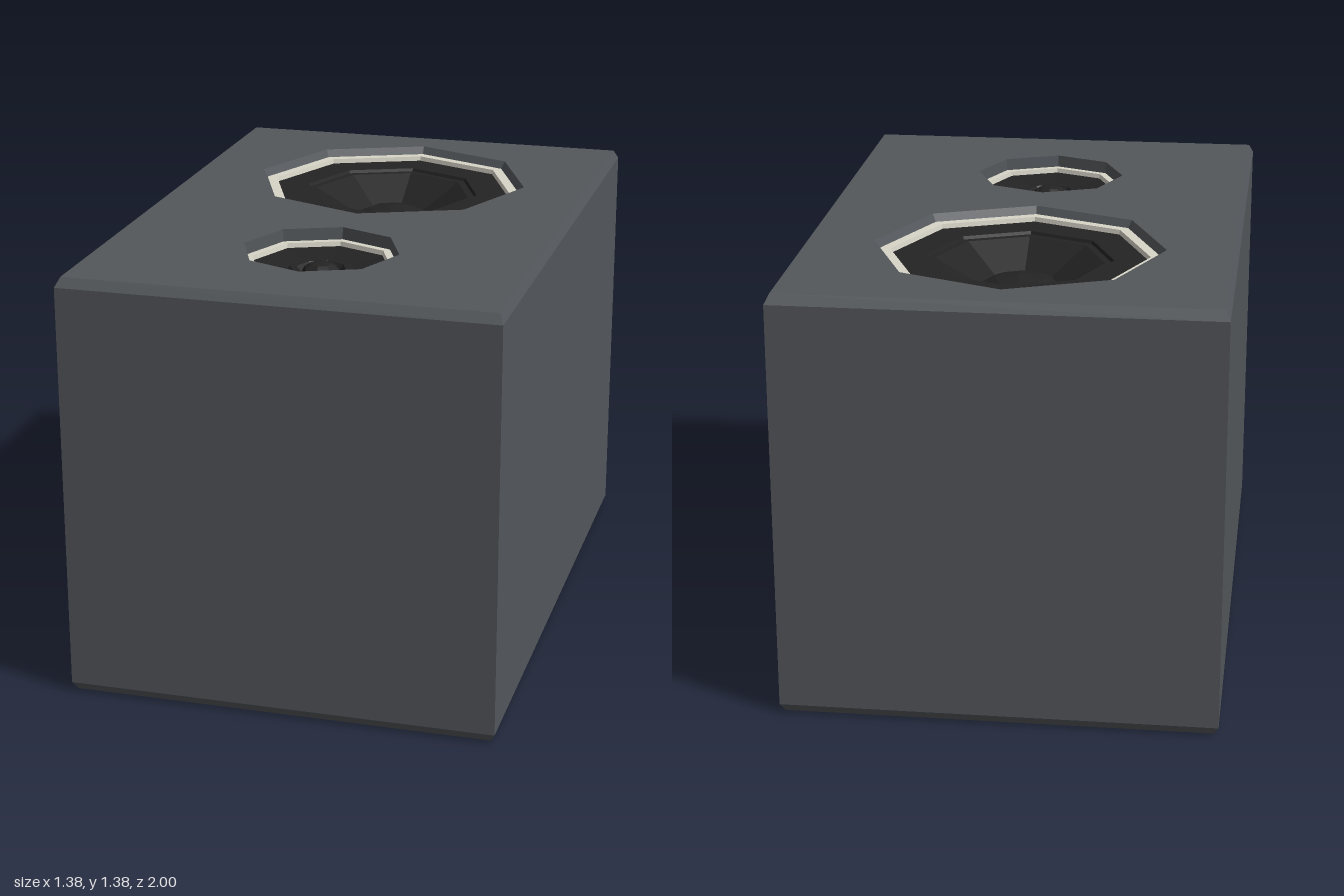
import * as THREE from 'three';

const HEIGHT = 1.38, HALF_X = 0.69, HALF_Z = 1;
const CHAMFER = 0.03, INSET = 0.979;

const shell = new THREE.MeshStandardMaterial({ color: 0x53575b, flatShading: true });
const trim = new THREE.MeshStandardMaterial({ color: 0xd8d5c8, flatShading: true });
const black = new THREE.MeshStandardMaterial({ color: 0x232323, flatShading: true });

// Faceted lathe: profile is a list of [radius, y], from outside to inside
function facets(profile, sides, start = 0) {
  const points = profile.map(([r, y]) => new THREE.Vector2(r, y));
  const geometry = new THREE.LatheGeometry(points, sides, start).toNonIndexed();
  geometry.computeVertexNormals();
  return geometry;
}

function add(parent, name, geometry, material) {
  const mesh = new THREE.Mesh(geometry, material);
  mesh.name = name;
  parent.add(mesh);
  return mesh;
}

// Octagonal driver, sunk below y = 0 of its own group
function driver(name, z, parts) {
  const group = new THREE.Group();
  group.name = name;
  group.position.set(0, HEIGHT, z);
  for (const [part, material, profile] of parts) {
    add(group, part, facets(profile, 8), material);
  }
  return group;
}

function octagonHole(radius, z) {
  const path = new THREE.Path();
  for (let i = 0; i < 8; i++) {
    const a = -i * Math.PI / 4;
    const x = radius * Math.sin(a), y = -z + radius * Math.cos(a);
    if (i === 0) path.moveTo(x, y); else path.lineTo(x, y);
  }
  path.closePath();
  return path;
}

export function createModel() {
  const model = new THREE.Group();
  model.name = 'loudspeaker';

  // Cabinet walls and base: a four-sided lathe with chamfered top and bottom edges
  const d = Math.SQRT2;
  const walls = facets([
    [0, 0], [INSET * d, 0], [d, CHAMFER], [d, HEIGHT - CHAMFER], [INSET * d, HEIGHT],
  ], 4, Math.PI / 4);
  walls.scale(HALF_X, 1, HALF_Z);
  walls.computeVertexNormals();
  add(model, 'cabinet', walls, shell);

  // Baffle panel with the two driver openings
  const woofer = { z: -0.395, r: 0.465 }, tweeter = { z: 0.49, r: 0.252 };
  const w = HALF_X * INSET, l = HALF_Z * INSET;
  const panel = new THREE.Shape([
    new THREE.Vector2(-w, -l), new THREE.Vector2(w, -l),
    new THREE.Vector2(w, l), new THREE.Vector2(-w, l),
  ]);
  for (const { z, r } of [woofer, tweeter]) panel.holes.push(octagonHole(r, z));
  const baffle = new THREE.ShapeGeometry(panel).rotateX(-Math.PI / 2).translate(0, HEIGHT, 0);
  add(model, 'baffle', baffle, shell);

  // Large driver: sloped recess, pale ring, surround, cone and dust cap
  model.add(driver('woofer', woofer.z, [
    ['wooferRecess', shell, [[woofer.r, 0], [0.45, -0.025]]],
    ['wooferRing', trim, [[0.45, -0.025], [0.415, -0.025], [0.412, -0.04]]],
    ['wooferSurround', black, [[0.412, -0.04], [0.3, -0.04], [0.295, -0.05], [0.27, -0.05]]],
    ['wooferCone', black, [[0.27, -0.05], [0.13, -0.13]]],
    ['wooferDustCap', black, [[0.13, -0.13], [0.08, -0.108], [0, -0.095]]],
  ]));

  // Small driver: straight recess, pale ring, shallow plate and dome
  model.add(driver('tweeter', tweeter.z, [
    ['tweeterRecess', shell, [[tweeter.r, 0], [0.25, -0.04]]],
    ['tweeterRing', trim, [[0.25, -0.04], [0.225, -0.04], [0.222, -0.055]]],
    ['tweeterPlate', black, [
      [0.222, -0.055], [0.11, -0.07], [0.1, -0.062], [0.08, -0.062], [0.065, -0.08],
    ]],
    ['tweeterDome', black, [[0.065, -0.08], [0.055, -0.06], [0.035, -0.048], [0, -0.043]]],
  ]));

  return model;
}
